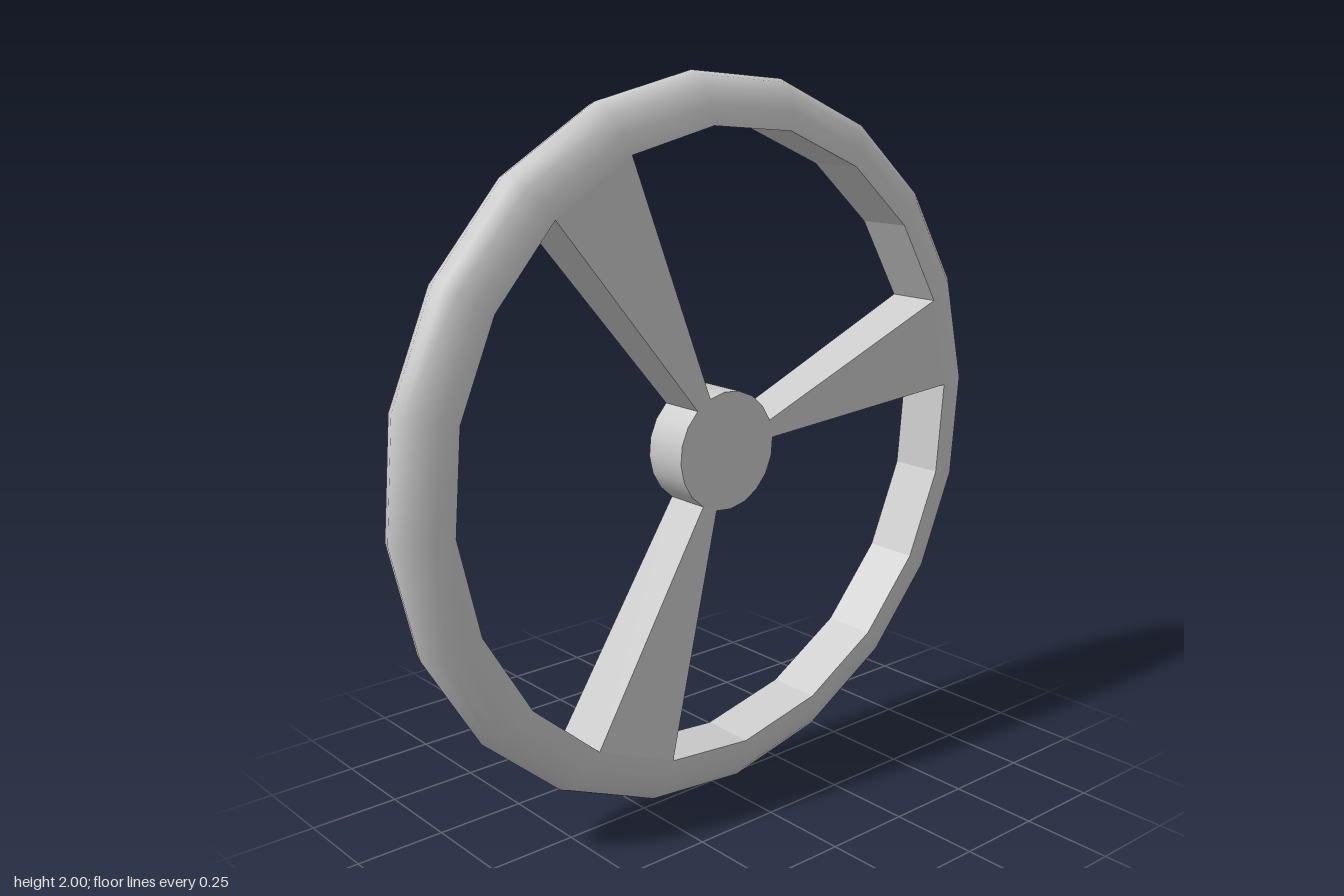
import * as THREE from 'three';

const SIDES = 20;
const STEP = (Math.PI * 2) / SIDES;
const START = THREE.MathUtils.degToRad(4); // angle of the first rim corner
const PHASE = START + Math.PI / 2; // same angle, measured as lathes and cylinders do
const R_OUT = 1.002, R_IN = 0.865, R_HUB = 0.165;
const RIM_HALF = 0.08, HUB_HALF = 0.066;

const smooth = new THREE.MeshStandardMaterial({ color: 0xcccccc });
const flat = new THREE.MeshStandardMaterial({ color: 0xcccccc, flatShading: true });

function addMesh(parent, name, geometry, material) {
  const mesh = new THREE.Mesh(geometry, material);
  mesh.name = name;
  parent.add(mesh);
  return mesh;
}

// Turns a profile of (radius, depth) points around the z axis
function turned(points) {
  return new THREE.LatheGeometry(points, SIDES, PHASE).rotateX(Math.PI / 2);
}

// Radial wedge filling one side of the rim, a little thinner at the hub
function spokeGeometry(side) {
  const geometry = new THREE.BoxGeometry(1, 1, 1);
  const pos = geometry.attributes.position;
  for (let i = 0; i < pos.count; i++) {
    const t = pos.getX(i) + 0.5;
    const angle = START + (side + pos.getY(i) + 0.5) * STEP;
    const r = THREE.MathUtils.lerp(R_HUB - 0.005, R_IN, t);
    const z = pos.getZ(i) * 2 * THREE.MathUtils.lerp(HUB_HALF, RIM_HALF, t);
    pos.setXYZ(i, r * Math.cos(angle), r * Math.sin(angle), z);
  }
  geometry.computeVertexNormals();
  return geometry;
}

export function createModel() {
  const wheel = new THREE.Group();
  wheel.name = 'wheel';

  // Rim: rounded outside, flat facets inside
  const rim = new THREE.Group();
  rim.name = 'rim';
  const profile = [];
  for (let i = 0; i <= 8; i++) {
    const a = -Math.PI / 2 + (i / 8) * Math.PI;
    profile.push(new THREE.Vector2(R_IN + (R_OUT - R_IN) * Math.cos(a), RIM_HALF * Math.sin(a)));
  }
  addMesh(rim, 'rimOutside', turned(profile), smooth);
  addMesh(rim, 'rimInside', turned([
    new THREE.Vector2(R_IN, RIM_HALF),
    new THREE.Vector2(R_IN, -RIM_HALF),
  ]), flat);
  wheel.add(rim);

  // Hub
  const hub = new THREE.CylinderGeometry(R_HUB, R_HUB, HUB_HALF * 2, SIDES, 1, false, PHASE);
  addMesh(wheel, 'hub', hub.rotateX(Math.PI / 2), smooth);

  // Three spokes, each on one side of the rim
  [0, 6, 13].forEach((side, i) => addMesh(wheel, `spoke${i + 1}`, spokeGeometry(side), flat));

  wheel.position.y = 1;
  const model = new THREE.Group();
  model.add(wheel);
  return model;
}
